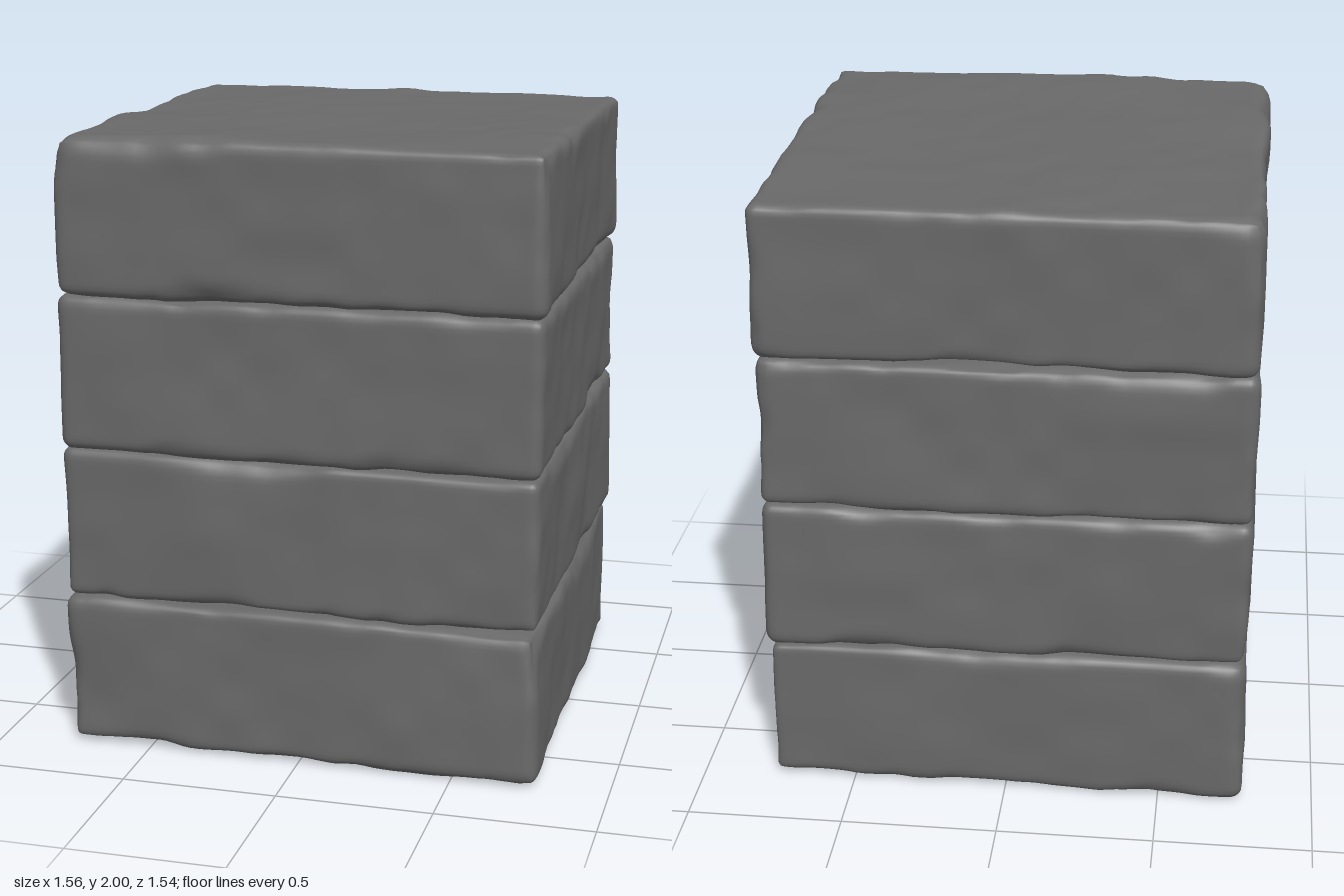
import * as THREE from 'three';
import { mergeVertices } from 'three/addons/utils/BufferGeometryUtils.js';

const clamp = THREE.MathUtils.clamp;

// Repeatable smooth value noise in the range -1..1
function hash(x, y, z) {
  const s = Math.sin(x * 127.1 + y * 311.7 + z * 74.7) * 43758.5453;
  return (s - Math.floor(s)) * 2 - 1;
}
function noise(x, y, z) {
  const X = Math.floor(x), Y = Math.floor(y), Z = Math.floor(z);
  const ease = t => t * t * (3 - 2 * t);
  const u = ease(x - X), v = ease(y - Y), w = ease(z - Z);
  const mix = THREE.MathUtils.lerp;
  const row = (j, k) => mix(hash(X, Y + j, Z + k), hash(X + 1, Y + j, Z + k), u);
  return mix(mix(row(0, 0), row(1, 0), v), mix(row(0, 1), row(1, 1), v), w);
}

// Worn stone slab: a box whose edge radius varies along each edge, with gently uneven faces
function slabGeometry(half, seed) {
  let geo = new THREE.BoxGeometry(2, 2, 2, 64, 24, 64);
  geo.deleteAttribute('uv');
  geo.deleteAttribute('normal');
  geo = mergeVertices(geo);
  const pos = geo.attributes.position;
  const p = new THREE.Vector3(), inner = new THREE.Vector3(), dir = new THREE.Vector3();
  // pack grid lines towards the edges
  const pack = t => 0.45 * t + 0.55 * Math.sin(t * Math.PI / 2);
  for (let i = 0; i < pos.count; i++) {
    p.fromBufferAttribute(pos, i);
    p.set(pack(p.x) * half.x, pack(p.y) * half.y, pack(p.z) * half.z);
    const a = noise(p.x * 4.5 + seed, p.y * 5 + 3, p.z * 4.5 + 7);
    const b = noise(p.x * 11 + 5, p.y * 9 + seed, p.z * 11);
    const r = 0.032 + 0.06 * Math.max(0, a - 0.15) + 0.022 * Math.max(0, b);
    inner.set(
      clamp(p.x, -half.x + r, half.x - r),
      clamp(p.y, -half.y + r, half.y - r),
      clamp(p.z, -half.z + r, half.z - r));
    dir.copy(p).sub(inner).normalize();
    const bump = 0.011 * noise(p.x * 3 + 20, p.y * 3 + seed, p.z * 3) +
      0.004 * noise(p.x * 9, p.y * 9, p.z * 9 + seed);
    p.copy(inner).addScaledVector(dir, r + bump);
    pos.setXYZ(i, p.x, p.y, p.z);
  }
  geo.computeVertexNormals();
  return geo;
}

export function createModel() {
  const model = new THREE.Group();
  model.name = 'stonePillar';
  const stone = new THREE.MeshStandardMaterial({ color: 0x696969 });
  stone.name = 'grey stone';

  // Four stacked slabs
  const half = new THREE.Vector3(0.768, 0.247, 0.76);
  for (let i = 0; i < 4; i++) {
    const slab = new THREE.Mesh(slabGeometry(half, 11.3 + i * 17.7), stone);
    slab.name = 'slab' + (i + 1);
    slab.position.y = 0.257 + i * 0.4955;
    model.add(slab);
  }
  return model;
}
